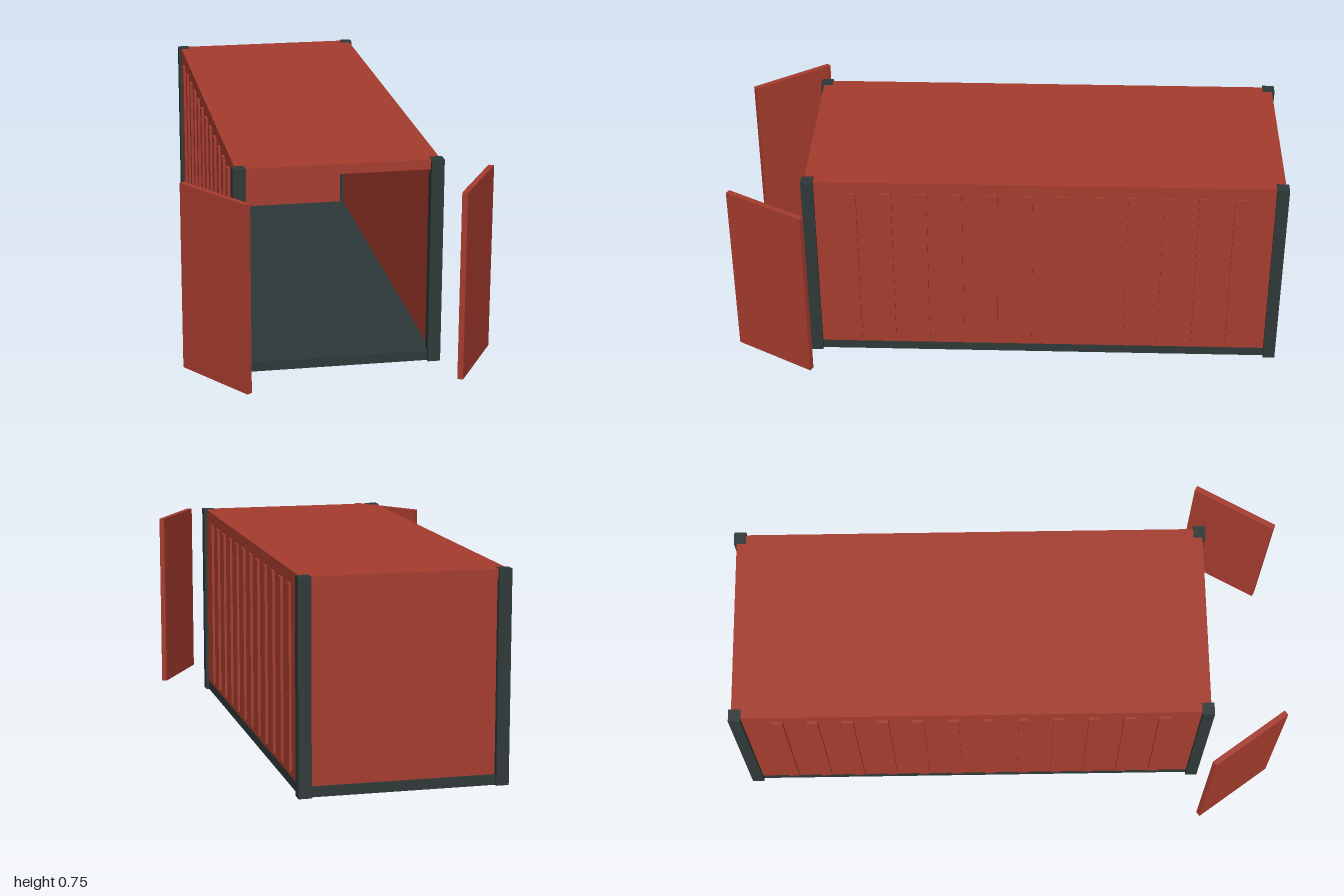
import * as THREE from 'three';

export function createModel() {
  const model = new THREE.Group();
  model.name = 'shippingContainer';

  const red = new THREE.MeshStandardMaterial({ color: 0xa63c2e });
  red.name = 'red paint';
  const dark = new THREE.MeshStandardMaterial({ color: 0x2e3838 });
  dark.name = 'dark steel';

  // Box given by its lower and upper limits on each axis
  function box(name, material, [x0, x1], [y0, y1], [z0, z1]) {
    const mesh = new THREE.Mesh(new THREE.BoxGeometry(x1 - x0, y1 - y0, z1 - z0), material);
    mesh.position.set((x0 + x1) / 2, (y0 + y1) / 2, (z0 + z1) / 2);
    mesh.name = name;
    model.add(mesh);
    return mesh;
  }

  const W = 0.355, H = 0.745, FLOOR = 0.036, CEILING = 0.709;
  const BACK = -0.99, FRONT = 0.723;

  // Floor, roof and closed back end; the front stays open
  box('floor', dark, [-W, W], [0.001, FLOOR], [BACK, FRONT]);
  box('roof', red, [-W, W], [CEILING, H - 0.001], [BACK, FRONT]);
  box('backWall', red, [-W + 0.02, W - 0.02], [FLOOR, CEILING], [-0.98, -0.96]);

  const ribCount = 12;
  for (const [side, s] of [['left', 1], ['right', -1]]) {
    const span = (a, b) => (s > 0 ? [a, b] : [-b, -a]);

    box(side + 'Wall', red, span(W - 0.02, W), [FLOOR, CEILING], [BACK, FRONT]);

    // Upright ribs along the outside of the wall
    for (let i = 0; i < ribCount; i++) {
      const z = 0.56 - i * 0.1265;
      box(side + 'Rib' + (i + 1), red, span(W - 0.005, 0.364), [0.056, 0.7], [z - 0.02, z + 0.02]);
    }

    // Corner posts
    box(side + 'FrontPost', dark, span(0.321, 0.366), [0, H], [0.69, 0.734]);
    box(side + 'BackPost', dark, span(0.321, 0.366), [0, H], [-1, -0.956]);
  }

  // Open doors, swung to slightly different angles
  function door(name, x, z, degrees) {
    const mesh = new THREE.Mesh(new THREE.BoxGeometry(0.325, 0.67, 0.02), red);
    mesh.position.set(x, 0.375, z);
    mesh.rotation.y = THREE.MathUtils.degToRad(degrees);
    mesh.name = name;
    model.add(mesh);
  }
  door('leftDoor', 0.455, 0.853, 60);
  door('rightDoor', -0.444, 0.861, -55);

  return model;
}
